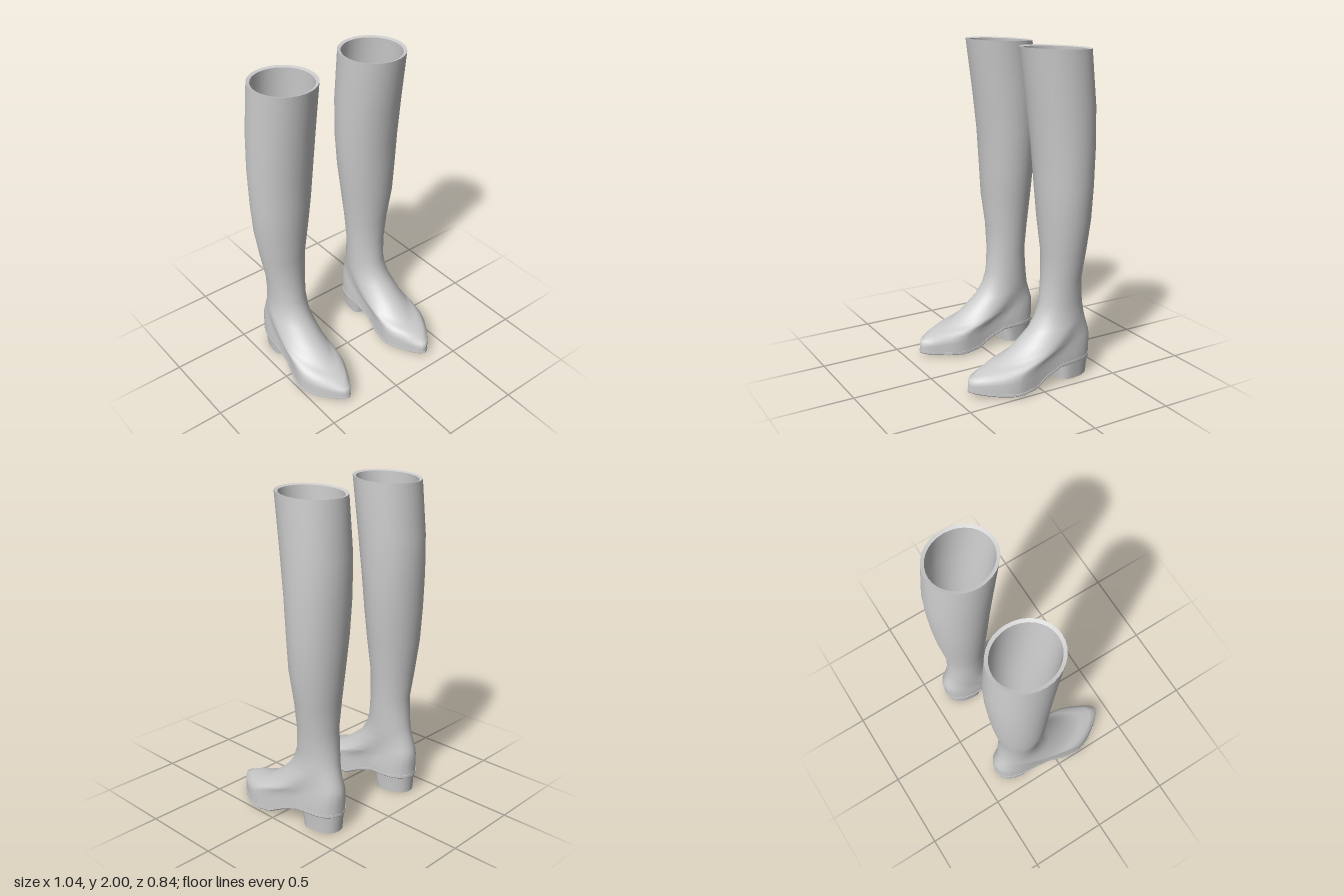
import * as THREE from 'three';
import { toCreasedNormals } from 'three/addons/utils/BufferGeometryUtils.js';

const N = 32;
const material = new THREE.MeshStandardMaterial({ color: 0xcccccc });

// Closed plan outline sampled from [x, z] points, starting at the toe.
function outline(points) {
  const curve = new THREE.CatmullRomCurve3(
    points.map(([x, z]) => new THREE.Vector3(x, 0, z)), true);
  return Array.from({ length: N }, (_, i) => curve.getPoint(i / N));
}

const footprint = outline([
  [0.32, 0.418], [0.37, 0.385], [0.435, 0.30], [0.48, 0.215],
  [0.496, 0.13], [0.458, -0.05], [0.447, -0.25], [0.41, -0.37],
  [0.33, -0.412], [0.25, -0.37], [0.213, -0.25], [0.222, -0.05],
  [0.192, 0.13], [0.20, 0.215], [0.237, 0.30], [0.28, 0.385],
]);

const heelOutline = outline([
  [0.33, -0.168], [0.395, -0.17], [0.435, -0.195], [0.438, -0.27],
  [0.42, -0.34], [0.38, -0.39], [0.33, -0.405], [0.28, -0.39],
  [0.24, -0.34], [0.222, -0.27], [0.225, -0.195], [0.265, -0.17],
]);

// Underside height along the foot, from heel to toe.
const arch = [[-0.45, 0.108], [-0.17, 0.108], [-0.11, 0.092], [-0.05, 0.062],
  [0, 0.03], [0.06, 0.013], [0.18, 0.008], [0.3, 0.014], [0.45, 0.03]];
function soleY(z) {
  const i = Math.max(1, arch.findIndex(([az]) => az >= z));
  const [z0, y0] = arch[i - 1], [z1, y1] = arch[i];
  return y0 + (y1 - y0) * (z - z0) / (z1 - z0);
}

// Sections: front z, front y, back z, back y, centre x, half width, footprint share.
const sections = [
  [0.418, 0.070, -0.412, 0.165, 0.33, 0.128, 1],
  [0.412, 0.105, -0.415, 0.20, 0.33, 0.126, 0.93],
  [0.36, 0.128, -0.415, 0.235, 0.33, 0.126, 0.78],
  [0.28, 0.148, -0.412, 0.27, 0.33, 0.125, 0.6],
  [0.20, 0.172, -0.402, 0.30, 0.33, 0.124, 0.4],
  [0.10, 0.240, -0.390, 0.34, 0.33, 0.122, 0.2],
  [0.00, 0.322, -0.376, 0.385, 0.328, 0.119, 0],
  [-0.05, 0.395, -0.366, 0.43, 0.324, 0.115, 0],
  [-0.082, 0.48, -0.357, 0.50, 0.322, 0.114, 0],
  [-0.095, 0.63, -0.345, 0.63, 0.324, 0.123, 0],
  [-0.093, 0.80, -0.362, 0.80, 0.332, 0.143, 0],
  [-0.068, 1.0, -0.383, 1.0, 0.335, 0.170, 0],
  [-0.055, 1.2, -0.396, 1.2, 0.328, 0.188, 0],
  [-0.038, 1.42, -0.405, 1.42, 0.322, 0.198, 0],
  [-0.003, 1.68, -0.406, 1.66, 0.317, 0.199, 0],
  [0.045, 2.0, -0.378, 1.982, 0.3125, 0.193, 0],
];

// One ring blended between an ellipse and the footprint, shrunk by inset.
function ring([fz, fy, bz, by, cx, hw, share], inset = 0, drop = 0) {
  const mid = (fz + bz) / 2, half = (fz - bz) / 2 - inset;
  return footprint.map((p, i) => {
    const a = i / N * Math.PI * 2;
    const footZ = mid + half * (p.z - 0.003) / 0.415;
    const z = THREE.MathUtils.lerp(mid + half * Math.cos(a), footZ, share);
    const x = THREE.MathUtils.lerp(cx + (hw - inset) * Math.sin(a), p.x, share);
    const y = by + (fy - by) * (z - bz) / (fz - bz) - drop;
    return new THREE.Vector3(x, y, z);
  });
}

// Skin between rings, with optional caps; side -1 mirrors it.
function loft(rings, side, capStart = false, capEnd = false) {
  const positions = rings.flat().flatMap((p) => [p.x * side, p.y, p.z]);
  const index = [];
  const tri = (a, b, c) => index.push(...(side > 0 ? [a, b, c] : [a, c, b]));
  for (let k = 0; k < rings.length - 1; k++) {
    for (let i = 0; i < N; i++) {
      const a = k * N + i, b = k * N + (i + 1) % N;
      tri(a, b, b + N);
      tri(a, b + N, a + N);
    }
  }
  const cap = (o, up) => {
    for (let i = 0; i < N / 2; i++) {
      const p = o + i, q = o + i + 1, r = o + N - i - 1, s = o + (N - i) % N;
      if (q !== r) up ? tri(p, q, r) : tri(p, r, q);
      if (p !== s) up ? tri(p, r, s) : tri(p, s, r);
    }
  };
  if (capStart) cap(0, false);
  if (capEnd) cap((rings.length - 1) * N, true);
  const geometry = new THREE.BufferGeometry();
  geometry.setAttribute('position', new THREE.Float32BufferAttribute(positions, 3));
  geometry.setIndex(index);
  geometry.computeVertexNormals();
  return geometry;
}

function createBoot(side) {
  const boot = new THREE.Group();
  boot.name = side > 0 ? 'leftBoot' : 'rightBoot';
  const add = (name, geometry) => {
    const mesh = new THREE.Mesh(geometry, material);
    mesh.name = name;
    boot.add(mesh);
  };
  const last = sections[sections.length - 1];

  // Leather upper, from the welt to the top of the shaft
  const welt = footprint.map((p) => new THREE.Vector3(p.x, soleY(p.z) + 0.018, p.z));
  add('upper', loft([welt, ...sections.map((s) => ring(s))], side));

  // Rolled top edge and inside of the shaft
  add('rim', loft([ring(last), ring(last, 0.02, 0.006)], side));
  const inside = sections.slice(5).reverse()
    .map((s, i) => ring(s, 0.02, i ? 0 : 0.006));
  add('lining', loft(inside, side, false, true));

  // Thin sole following the arch, slightly wider than the upper
  const soleRing = (lift, scale) => footprint.map((p) => new THREE.Vector3(
    0.335 + (p.x - 0.335) * scale, soleY(p.z) + lift, p.z * (scale > 1 ? 1.005 : 0.99)));
  const sole = loft([soleRing(0, 0.98), soleRing(0.006, 1.025), soleRing(0.02, 1.025)],
    side, true, true);
  add('sole', toCreasedNormals(sole, 0.7));

  // Tapered block heel
  const heelRing = (y, scale) => heelOutline.map((p) => new THREE.Vector3(
    0.33 + (p.x - 0.33) * scale, y, -0.295 + (p.z + 0.295) * scale));
  const heel = loft([heelRing(0, 0.9), heelRing(0.06, 0.94), heelRing(0.118, 1)],
    side, true, true);
  add('heel', toCreasedNormals(heel, 0.7));
  return boot;
}

export function createModel() {
  const group = new THREE.Group();
  group.name = 'ridingBoots';
  for (const side of [1, -1]) group.add(createBoot(side));
  return group;
}
